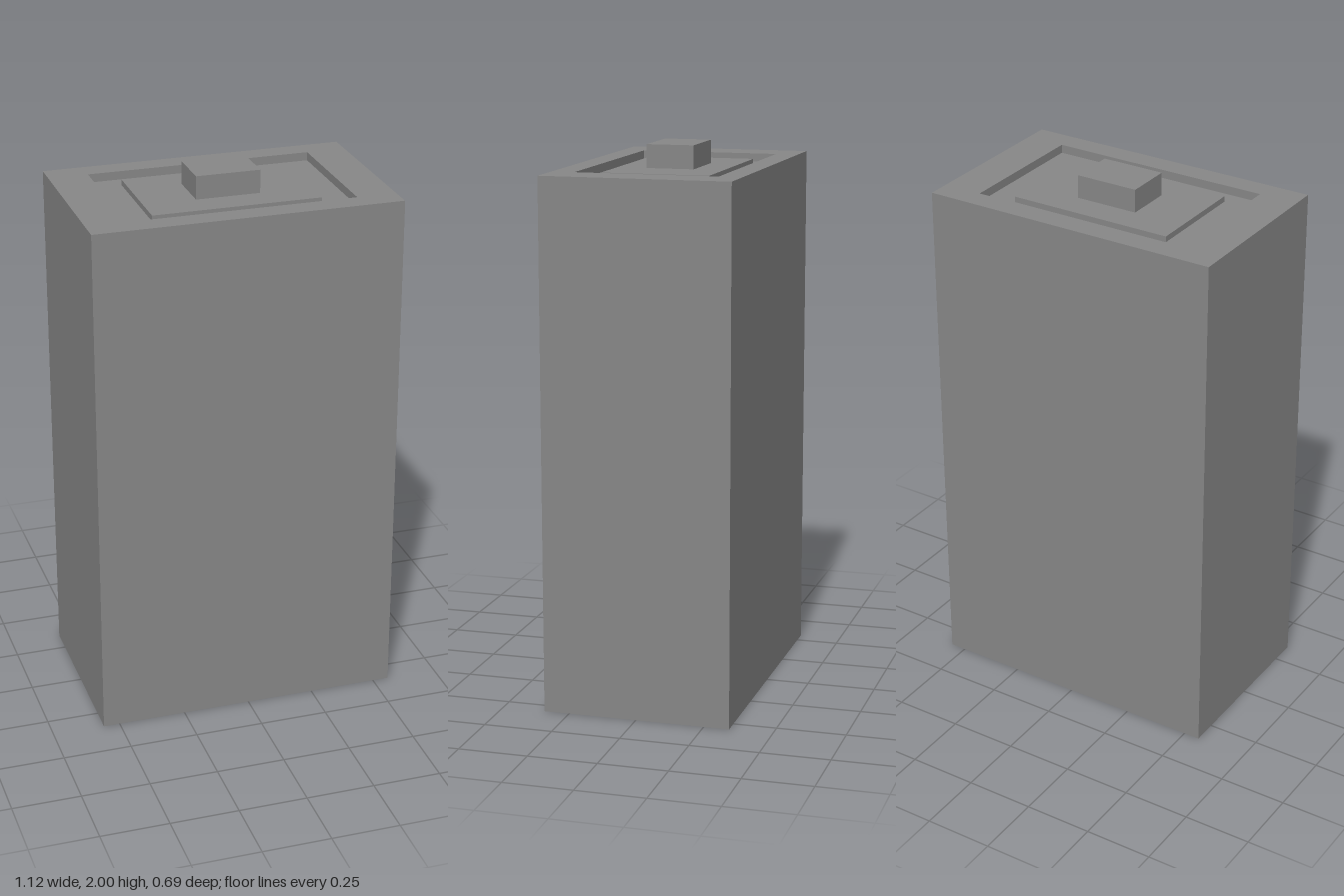
import * as THREE from 'three';

const material = new THREE.MeshStandardMaterial({ color: 0x878787 });

// Footprints (width, depth) and heights
const BODY = [1.12, 0.686], RECESS = [0.83, 0.518], PLATE = [0.616, 0.394], TERMINAL = [0.235, 0.174];
const FLOOR_Y = 1.894, PLATE_Y = 1.915, BODY_Y = 1.925, TOP_Y = 2;

function add(group, name, geometry) {
  const mesh = new THREE.Mesh(geometry, material);
  mesh.name = name;
  group.add(mesh);
  return mesh;
}

// Box standing between two heights
function addBlock(group, name, [w, d], y0, y1) {
  add(group, name, new THREE.BoxGeometry(w, y1 - y0, d)).position.y = (y0 + y1) / 2;
}

function rectangle(path, [w, d]) {
  const x = w / 2, y = d / 2;
  path.moveTo(-x, -y).lineTo(x, -y).lineTo(x, y).lineTo(-x, y).closePath();
  return path;
}

export function createModel() {
  const group = new THREE.Group();
  group.name = 'batteryBlock';

  // Solid casing up to the recess floor
  addBlock(group, 'casing', BODY, 0, FLOOR_Y);

  // Rim that frames the shallow recess in the top
  const outline = rectangle(new THREE.Shape(), BODY);
  outline.holes.push(rectangle(new THREE.Path(), RECESS));
  const rim = new THREE.ExtrudeGeometry(outline, { depth: BODY_Y - FLOOR_Y, bevelEnabled: false });
  rim.rotateX(-Math.PI / 2);
  add(group, 'rim', rim).position.y = FLOOR_Y;

  // Raised plate in the recess, with the terminal on it
  addBlock(group, 'plate', PLATE, FLOOR_Y, PLATE_Y);
  addBlock(group, 'terminal', TERMINAL, PLATE_Y, TOP_Y);

  return group;
}
